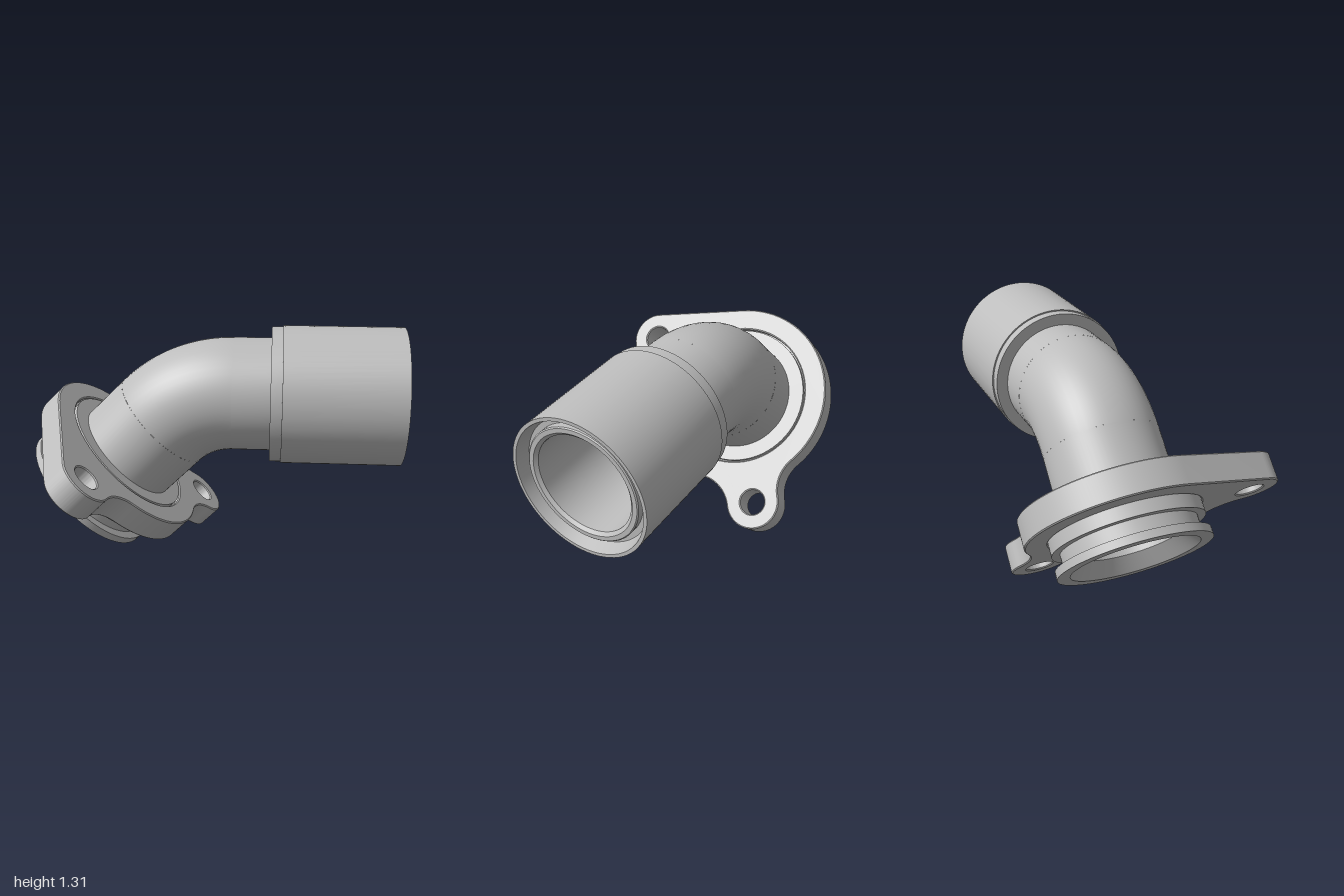
import * as THREE from 'three';
import { toCreasedNormals } from 'three/addons/utils/BufferGeometryUtils.js';

const AXIS_Z = -0.137;   // pipe axis plane
const OUTER = 0.303;     // pipe outer radius
const BORE = 0.258;      // pipe inner radius
const BEND = 0.55;       // bend radius

function add(parent, name, geometry, material) {
  const mesh = new THREE.Mesh(geometry, material);
  mesh.name = name;
  parent.add(mesh);
  return mesh;
}

function turned(profile) {
  const points = profile.map(([r, y]) => new THREE.Vector2(r, y));
  return toCreasedNormals(new THREE.LatheGeometry(points, 72), 0.35);
}

// Round plate with two bolt lugs, one blended by a tangent line, the rest by fillets
function flangeGeometry() {
  const R = 0.51, r = 0.15, f = 0.21;
  const lugs = [[-0.163, -0.625], [0.542, 0.323]].map(([x, y]) => {
    const d = Math.hypot(x, y);
    const a = Math.atan2(y, x);
    const spread = Math.acos(((R + f) ** 2 + d * d - (r + f) ** 2) / (2 * (R + f) * d));
    const fillet = (side) => {
      const t = a + side * spread;
      const cx = (R + f) * Math.cos(t), cy = (R + f) * Math.sin(t);
      return { t, cx, cy, toLug: Math.atan2(y - cy, x - cx) };
    };
    return { x, y, d, a, before: fillet(-1), after: fillet(1) };
  });
  const [first, second] = lugs;
  const tangent = first.a - Math.acos((R - r) / first.d);

  const shape = new THREE.Shape();
  shape.moveTo(R * Math.cos(tangent), R * Math.sin(tangent));
  shape.absarc(first.x, first.y, r, tangent, first.after.toLug + Math.PI, false);
  shape.absarc(first.after.cx, first.after.cy, f, first.after.toLug, first.after.t + Math.PI, true);
  shape.absarc(0, 0, R, first.after.t, second.before.t, false);
  shape.absarc(second.before.cx, second.before.cy, f, second.before.t + Math.PI, second.before.toLug, true);
  shape.absarc(second.x, second.y, r, second.before.toLug + Math.PI, second.after.toLug + Math.PI, false);
  shape.absarc(second.after.cx, second.after.cy, f, second.after.toLug, second.after.t + Math.PI, true);
  shape.absarc(0, 0, R, second.after.t, tangent + 2 * Math.PI, false);

  // Bolt holes and the seat for the spigot
  for (const [x, y, radius] of [[first.x, first.y, 0.07], [second.x, second.y, 0.07], [0, 0, 0.392]]) {
    const hole = new THREE.Path();
    hole.absarc(x, y, radius, 0, Math.PI * 2, true);
    shape.holes.push(hole);
  }
  const bevel = 0.006;
  const geometry = new THREE.ExtrudeGeometry(shape, {
    depth: 0.15 - 2 * bevel, curveSegments: 32,
    bevelThickness: bevel, bevelSize: bevel, bevelOffset: -bevel, bevelSegments: 1,
  });
  geometry.translate(0, 0, bevel - 0.15);
  geometry.rotateX(-Math.PI / 2);
  return toCreasedNormals(geometry, 0.5);
}

export function createModel() {
  const model = new THREE.Group();
  model.name = 'pipeElbow';
  const metal = new THREE.MeshStandardMaterial({ color: 0xbdbdbd, side: THREE.DoubleSide });
  metal.name = 'grey metal';

  // 45 degree bend, outside and bore
  for (const [name, radius] of [['bendOuter', OUTER], ['bendBore', BORE]]) {
    const bend = add(model, name, new THREE.TorusGeometry(BEND, radius, 48, 32, Math.PI / 4), metal);
    bend.position.set(0.1, 0.4, AXIS_Z);
    bend.rotation.z = Math.PI / 2;
  }

  // Straight pipe with stepped sleeve and recessed mouth
  const sleeve = add(model, 'sleeve', turned([
    [OUTER, 0], [OUTER, 0.2], [0.363, 0.2], [0.363, 0.26], [0.37, 0.26], [0.37, 0.9],
    [0.352, 0.9], [0.332, 0.83], [0.304, 0.83], [0.304, 0.865], [0.298, 0.87],
    [0.275, 0.87], [BORE, 0.855], [BORE, 0],
  ]), metal);
  sleeve.position.set(0.1, 0.95, AXIS_Z);
  sleeve.rotation.z = -Math.PI / 2;

  // Tilted lower end, with the flange's upper face at local y = 0
  const lowerEnd = new THREE.Group();
  lowerEnd.name = 'lowerEnd';
  lowerEnd.position.set(-0.4815, 0.5965, AXIS_Z);
  lowerEnd.rotation.z = -Math.PI / 4;
  model.add(lowerEnd);

  add(lowerEnd, 'flange', flangeGeometry(), metal);

  // Spigot with seal groove, running up through the flange to the bend
  add(lowerEnd, 'spigot', turned([
    [BORE, 0.272], [BORE, -0.25], [0.33, -0.332], [0.395, -0.332], [0.395, -0.29],
    [0.35, -0.287], [0.35, -0.216], [0.392, -0.216], [0.392, -0.03], [0.383, -0.03],
    [0.383, 0], [OUTER, 0], [OUTER, 0.272],
  ]), metal);

  return model;
}
